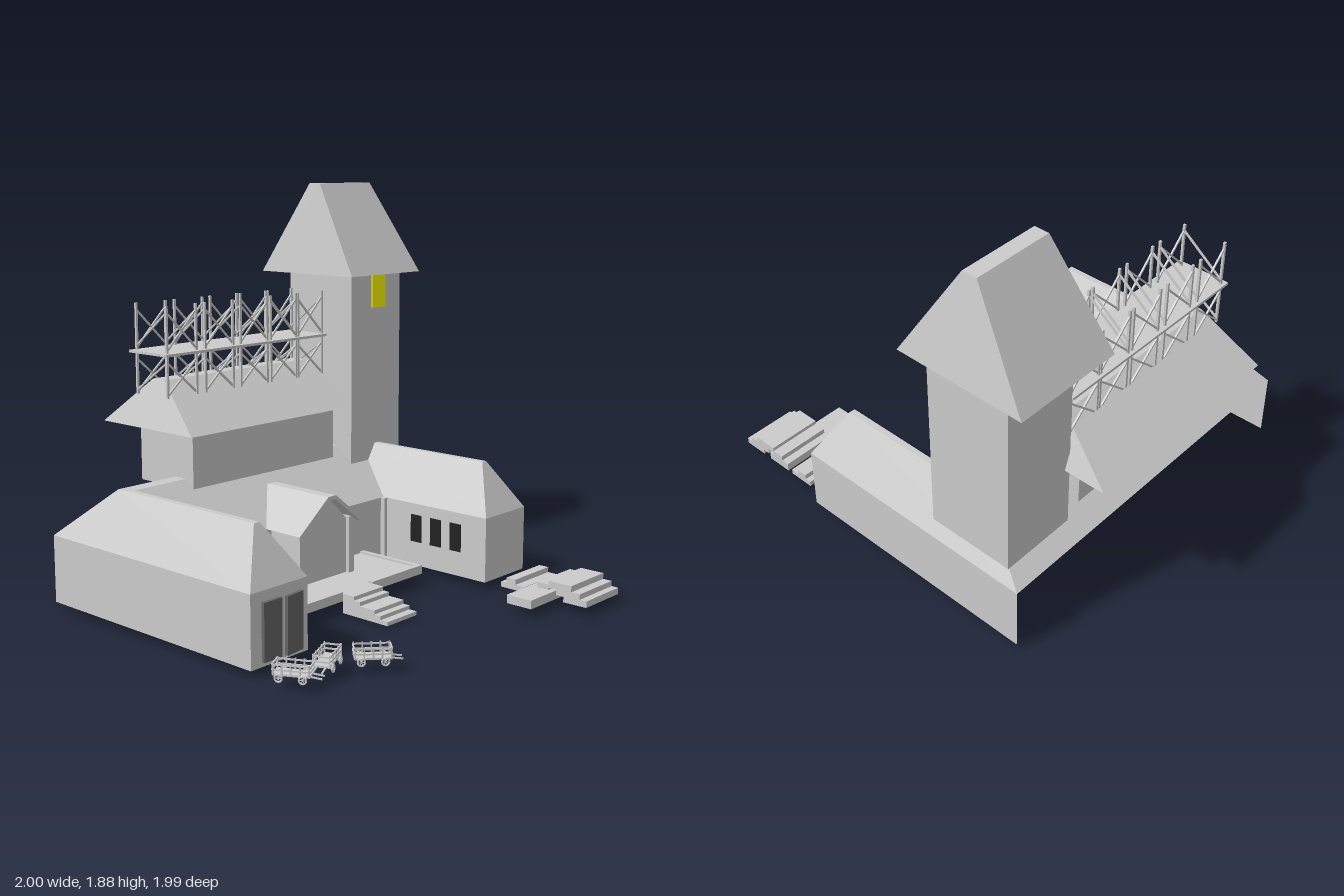
import * as THREE from 'three';
import { ConvexGeometry } from 'three/addons/geometries/ConvexGeometry.js';

const V = (x, y, z) => new THREE.Vector3(x, y, z);
const material = (color) => new THREE.MeshStandardMaterial({ color, flatShading: true, side: THREE.DoubleSide });
const grey = material(0xcccccc);
const dark = material(0x666666);
const black = material(0x222222);
const yellow = material(0xffff00);

function add(parent, name, geometry, mat = grey) {
  const mesh = new THREE.Mesh(geometry, mat);
  mesh.name = name;
  parent.add(mesh);
  return mesh;
}

// Box given by its lower and upper limits on each axis
function block(parent, name, x0, x1, y0, y1, z0, z1, mat) {
  const mesh = add(parent, name, new THREE.BoxGeometry(x1 - x0, y1 - y0, z1 - z0), mat);
  mesh.position.set((x0 + x1) / 2, (y0 + y1) / 2, (z0 + z1) / 2);
  return mesh;
}

// Square bar between two points
function bar(parent, name, a, b, t) {
  const mesh = add(parent, name, new THREE.BoxGeometry(t, t, a.distanceTo(b)));
  mesh.position.copy(a).add(b).multiplyScalar(0.5);
  mesh.lookAt(b);
  return mesh;
}

// Hipped roof: rectangle [x0, x1, z0, z1] at the eaves and another at the top
function hipRoof(parent, name, low, yLow, high, yHigh) {
  const points = [];
  for (const [[x0, x1, z0, z1], y] of [[low, yLow], [high, yHigh]])
    for (const x of [x0, x1]) for (const z of [z0, z1]) points.push(V(x, y, z));
  return add(parent, name, new ConvexGeometry(points));
}

// U-shaped low building: wall and roof section carried around the courtyard
function courtyardBuilding(parent) {
  // each station: outer wall, outer ridge, inner ridge, inner wall as [x, z]
  const stations = [
    [[-0.98, 0.43], [-0.83, 0.3], [-0.8, 0.3], [-0.66, 0.43]],
    [[-0.98, -0.83], [-0.83, -0.55], [-0.8, -0.48], [-0.66, -0.2]],
    [[0.86, -0.83], [0.72, -0.55], [0.69, -0.48], [0.55, -0.2]],
    [[0.86, 0.43], [0.72, 0.3], [0.69, 0.3], [0.55, 0.43]],
  ].map(([o, ro, ri, i]) => [
    V(o[0], 0.03, o[1]), V(o[0], 0.34, o[1]), V(ro[0], 0.57, ro[1]),
    V(ri[0], 0.57, ri[1]), V(i[0], 0.34, i[1]), V(i[0], 0.03, i[1]),
  ]);
  const points = [];
  const quad = (a, b, c, d) => points.push(a, b, c, a, c, d);
  for (let s = 0; s < 3; s++) {
    const p = stations[s], q = stations[s + 1];
    for (let k = 0; k < 5; k++) {
      if (s === 1 && k === 0) continue; // the back is open under the eave
      quad(p[k], p[k + 1], q[k + 1], q[k]);
    }
  }
  const l = stations[0], r = stations[3];
  quad(l[0], l[5], l[4], l[1]);
  quad(l[1], l[4], l[3], l[2]);
  quad(r[5], r[0], r[1], r[4]);
  quad(r[4], r[1], r[2], r[3]);
  const geometry = new THREE.BufferGeometry().setFromPoints(points);
  geometry.computeVertexNormals();
  add(parent, 'courtyardBuilding', geometry);
}

// Small hand cart, its handles towards +z
function cart(x, z, dx, dz) {
  const g = new THREE.Group();
  g.name = 'cart';
  block(g, 'cartBed', -0.034, 0.034, 0.056, 0.064, -0.075, 0.075);
  for (const side of [-1, 1]) {
    for (const y of [0.08, 0.1])
      bar(g, 'cartRail', V(side * 0.034, y, -0.075), V(side * 0.034, y, 0.075), 0.006);
    for (let i = 0; i < 5; i++) {
      const pz = -0.072 + i * 0.036;
      bar(g, 'cartStake', V(side * 0.034, 0.06, pz), V(side * 0.034, 0.108, pz), 0.006);
    }
    for (const wz of [-0.048, 0.048]) {
      const wheel = add(g, 'cartWheel', new THREE.TorusGeometry(0.015, 0.004, 6, 12));
      wheel.position.set(side * 0.041, 0.049, wz);
      wheel.rotation.y = Math.PI / 2;
      for (let k = 0; k < 3; k++) {
        const a = (k * Math.PI) / 3, c = Math.cos(a) * 0.015, s = Math.sin(a) * 0.015;
        bar(g, 'cartSpoke', V(side * 0.041, 0.049 - s, wz - c), V(side * 0.041, 0.049 + s, wz + c), 0.003);
      }
    }
    bar(g, 'cartHandle', V(side * 0.018, 0.058, 0.07), V(side * 0.018, 0.052, 0.12), 0.006);
  }
  for (const wz of [-0.048, 0.048]) bar(g, 'cartAxle', V(-0.041, 0.049, wz), V(0.041, 0.049, wz), 0.006);
  for (const y of [0.08, 0.1])
    for (const ez of [-0.075, 0.075]) bar(g, 'cartEndRail', V(-0.034, y, ez), V(0.034, y, ez), 0.006);
  g.position.set(x, 0, z);
  g.rotation.y = Math.atan2(dx, dz);
  return g;
}

// Two-storey scaffold of braced frames over the hall roof
function scaffold() {
  const g = new THREE.Group();
  g.name = 'scaffold';
  block(g, 'scaffoldDeck', -0.55, 0.5, 1.123, 1.135, -0.8, -0.54);
  const bays = [[-0.52, -0.345], [-0.29, -0.115], [-0.065, 0.11], [0.135, 0.31], [0.325, 0.495]];
  for (const [x0, x1] of bays) {
    for (const [y0, y1] of [[0.93, 1.123], [1.135, 1.35]]) {
      for (const z of [-0.78, -0.57]) {
        for (const x of [x0, x1]) bar(g, 'scaffoldPost', V(x, y0, z), V(x, y1, z), 0.011);
        bar(g, 'scaffoldBrace', V(x0, y0 + 0.01, z), V(x1, y1 - 0.03, z), 0.008);
        bar(g, 'scaffoldBrace', V(x1, y0 + 0.01, z), V(x0, y1 - 0.03, z), 0.008);
      }
      for (const x of [x0, x1])
        bar(g, 'scaffoldCrossBrace', V(x, y0 + 0.02, -0.78), V(x, y1 - 0.03, -0.57), 0.008);
    }
  }
  return g;
}

// Gabled entrance with corner posts
function portico() {
  const g = new THREE.Group();
  g.name = 'portico';
  const c = -0.055;
  const outline = (pts) => new THREE.Shape(pts.map(([x, y]) => new THREE.Vector2(c + x, y)));
  const extrude = (shape, depth) => new THREE.ExtrudeGeometry(shape, { depth, bevelEnabled: false });
  const roof = outline([[-0.215, 0.34], [-0.025, 0.49], [0.025, 0.49], [0.215, 0.34], [0.19, 0.34], [0.02, 0.472], [-0.02, 0.472], [-0.19, 0.34]]);
  add(g, 'porticoRoof', extrude(roof, 0.39)).position.z = -0.38;
  const wall = outline([[-0.15, 0.09], [0.15, 0.09], [0.15, 0.35], [0.02, 0.472], [-0.02, 0.472], [-0.15, 0.35]]);
  add(g, 'porticoWall', extrude(wall, 0.16)).position.z = -0.2;
  for (const s of [-1, 1])
    block(g, 'porticoPost', c + s * 0.165 - 0.018, c + s * 0.165 + 0.018, 0.09, 0.36, -0.2, -0.02);
  return g;
}

export function createModel() {
  const model = new THREE.Group();
  model.name = 'courtyardHallWithTower';
  courtyardBuilding(model);

  // Upper hall
  block(model, 'hallWalls', -0.5, 0.43, 0.52, 0.79, -0.79, -0.43);
  hipRoof(model, 'hallRoof', [-0.55, 0.54, -1, -0.38], 0.78, [-0.47, 0.46, -0.73, -0.65], 1.0);
  model.add(scaffold());

  // Tower
  block(model, 'towerWalls', 0.51, 0.88, 0.48, 1.44, -0.8, -0.38);
  hipRoof(model, 'towerRoof', [0.48, 1, -0.97, -0.35], 1.43, [0.55, 0.93, -0.7, -0.63], 1.88);
  block(model, 'towerWindow', 0.66, 0.76, 1.265, 1.43, -0.385, -0.372, yellow);

  // Terrace with raised rim, landing and steps
  block(model, 'terrace', -0.52, 0.4, 0.055, 0.088, -0.2, 0.17);
  block(model, 'terraceRimLeft', 0.375, 0.4, 0.088, 0.097, -0.2, 0.17);
  block(model, 'terraceRimRight', -0.52, -0.495, 0.088, 0.097, -0.2, 0.17);
  block(model, 'terraceRimFront', 0.04, 0.375, 0.088, 0.097, 0.145, 0.17);
  block(model, 'terraceRimFront', -0.495, -0.16, 0.088, 0.097, 0.145, 0.17);
  [0.235, 0.27, 0.355, 0.39, 0.43].forEach((z, i) =>
    block(model, 'entranceStep', -0.16, 0.04, 0, 0.09 - i * 0.018, 0.17, z));
  model.add(portico());

  // Courtyard corner posts
  for (const x of [-0.66, 0.53]) block(model, 'cornerPost', x, x + 0.02, 0.03, 0.34, -0.2, -0.175);

  // Double doors, one a little ajar
  block(model, 'wingDoor', -0.92, -0.82, 0.05, 0.295, 0.43, 0.445, dark);
  const ajar = block(model, 'wingDoor', -0.8, -0.7, 0.05, 0.295, 0.435, 0.45, dark);
  ajar.rotation.y = 0.1;

  // Courtyard windows of the left wing
  for (const z of [-0.02, 0.1, 0.22])
    block(model, 'wingWindow', 0.546, 0.554, 0.15, 0.285, z, z + 0.065, black);

  // Stacked planks
  const planks = [
    [0.54, 0.035, 0.065, 0.87, 0.99], [0.54, 0.06, 0.09, 0.83, 0.955], [0.54, 0.085, 0.118, 0.79, 0.91],
    [0.54, 0.06, 0.1, 0.73, 0.79], [0.36, 0.035, 0.075, 0.69, 0.82],
    [0.54, 0.035, 0.06, 0.53, 0.66], [0.54, 0.06, 0.085, 0.56, 0.61],
  ];
  for (const [x0, y0, y1, z0, z1] of planks) block(model, 'plank', x0, 0.81, y0, y1, z0, z1);

  model.add(cart(-0.935, 0.615, 0.07, 0.13), cart(-0.75, 0.62, -0.14, 0.065), cart(-0.595, 0.72, 0.11, 0.1));
  return model;
}
